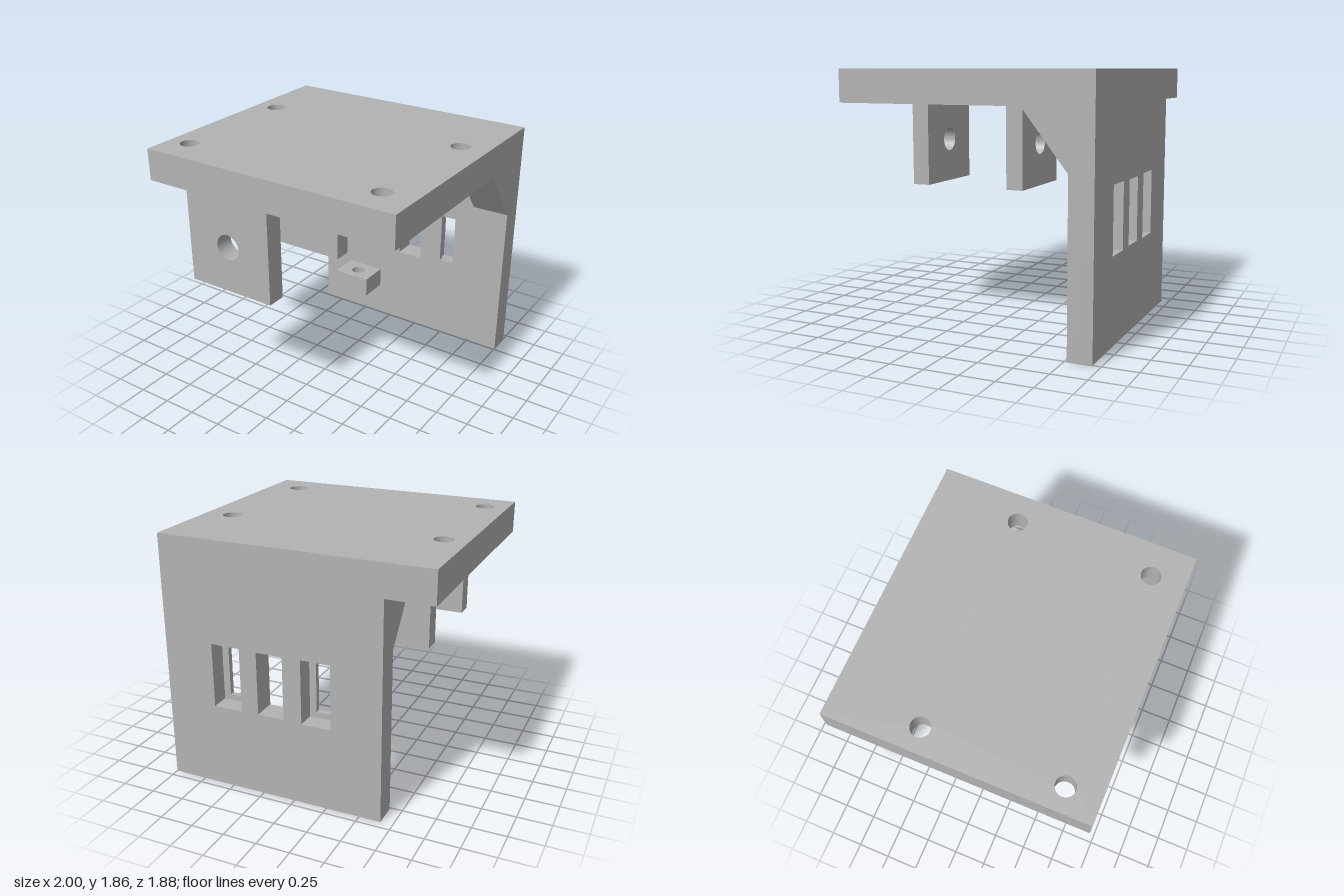
import * as THREE from 'three';

const grey = new THREE.MeshStandardMaterial({ color: 0xb3b3b3 });
grey.name = 'plain grey';
const greyInside = new THREE.MeshStandardMaterial({ color: 0xb3b3b3, side: THREE.BackSide });
greyInside.name = 'plain grey inner';

function rect(x0, y0, x1, y1, Kind = THREE.Shape) {
  const s = new Kind();
  s.moveTo(x0, y0);
  s.lineTo(x1, y0);
  s.lineTo(x1, y1);
  s.lineTo(x0, y1);
  s.closePath();
  return s;
}
const slot = (x, y, w, h) => rect(x - w / 2, y - h / 2, x + w / 2, y + h / 2, THREE.Path);
const circle = (x, y, r) => new THREE.Path().absarc(x, y, r, 0, Math.PI * 2, true);

function extrude(shape, holes, depth) {
  shape.holes.push(...holes);
  return new THREE.ExtrudeGeometry(shape, { depth, bevelEnabled: false, curveSegments: 32 });
}

// Slab standing in the xy plane, from z0 to z1
const upright = (shape, holes, z0, z1) => extrude(shape, holes, z1 - z0).translate(0, 0, z0);

// Slab lying flat from y0 to y1; shape coordinates are (x, -z)
const flat = (shape, holes, y0, y1) =>
  extrude(shape, holes, y1 - y0).rotateX(-Math.PI / 2).translate(0, y0, 0);

export function createModel() {
  const model = new THREE.Group();
  model.name = 'mountingBracket';
  const add = (name, geometry, material = grey) => {
    const mesh = new THREE.Mesh(geometry, material);
    mesh.name = name;
    model.add(mesh);
  };

  const top = 1.86, under = 1.625, sinkTop = 1.695;
  const back = -0.94, wallFront = -0.765, lipBack = -0.805;

  // Top plate with four countersunk screw holes
  const screws = [[-0.83, -0.305], [0.79, -0.305], [-0.83, 0.695], [0.755, 0.695]];
  const screwHoles = (r) => screws.map(([x, z]) => circle(x, -z, r));
  add('topPlateUpper', flat(rect(-1, -0.94, 1, 0.94), screwHoles(0.07), sinkTop, top));
  add('topPlateLower', flat(rect(-1, -0.94, 1, 0.94), screwHoles(0.13), under, sinkTop));
  for (const [x, z] of screws) {
    const cone = new THREE.CylinderGeometry(0.07, 0.13, sinkTop - under, 32, 1, true);
    add('countersink', cone.translate(x, (under + sinkTop) / 2, z), greyInside);
  }

  // Back wall: the outer two slots are wide behind and narrow at the front lip
  const middle = () => slot(0.17, 0.867, 0.2, 0.47);
  const outer = [-0.178, 0.512];
  add('backWall', upright(rect(-0.66, 0, 1, under),
    [middle(), ...outer.map((x) => slot(x, 0.867, 0.22, 0.48))], back, lipBack));
  add('backWallLip', upright(rect(-0.66, 0, 1, under),
    [middle(), ...outer.map((x) => slot(x, 0.867, 0.117, 0.395))], lipBack, wallFront));

  // Two hanging tabs with a cross hole
  for (const [name, z0, z1] of [['frontTab', 0.8, 0.94], ['middleTab', -0.02, 0.115]]) {
    add(name, upright(rect(-0.66, 0.935, 0.035, under), [circle(-0.315, 1.28, 0.095)], z0, z1));
  }

  // Triangular gussets between wall and plate; shape coordinates are (-z, y)
  for (const [name, x0, x1] of [['rightGusset', -0.66, -0.385], ['leftGusset', 0.72, 1]]) {
    const tri = new THREE.Shape([
      new THREE.Vector2(-wallFront, 1.21),
      new THREE.Vector2(-wallFront, under),
      new THREE.Vector2(0.44, under),
    ]);
    add(name, extrude(tri, [], x1 - x0).rotateY(Math.PI / 2).translate(x0, 0, 0));
  }

  // Small block on the wall with a vertical hole
  add('wallBlock', flat(rect(-0.415, 0.535, -0.11, -wallFront),
    [circle(-0.2625, 0.65, 0.055)], 0.26, 0.415));

  return model;
}
